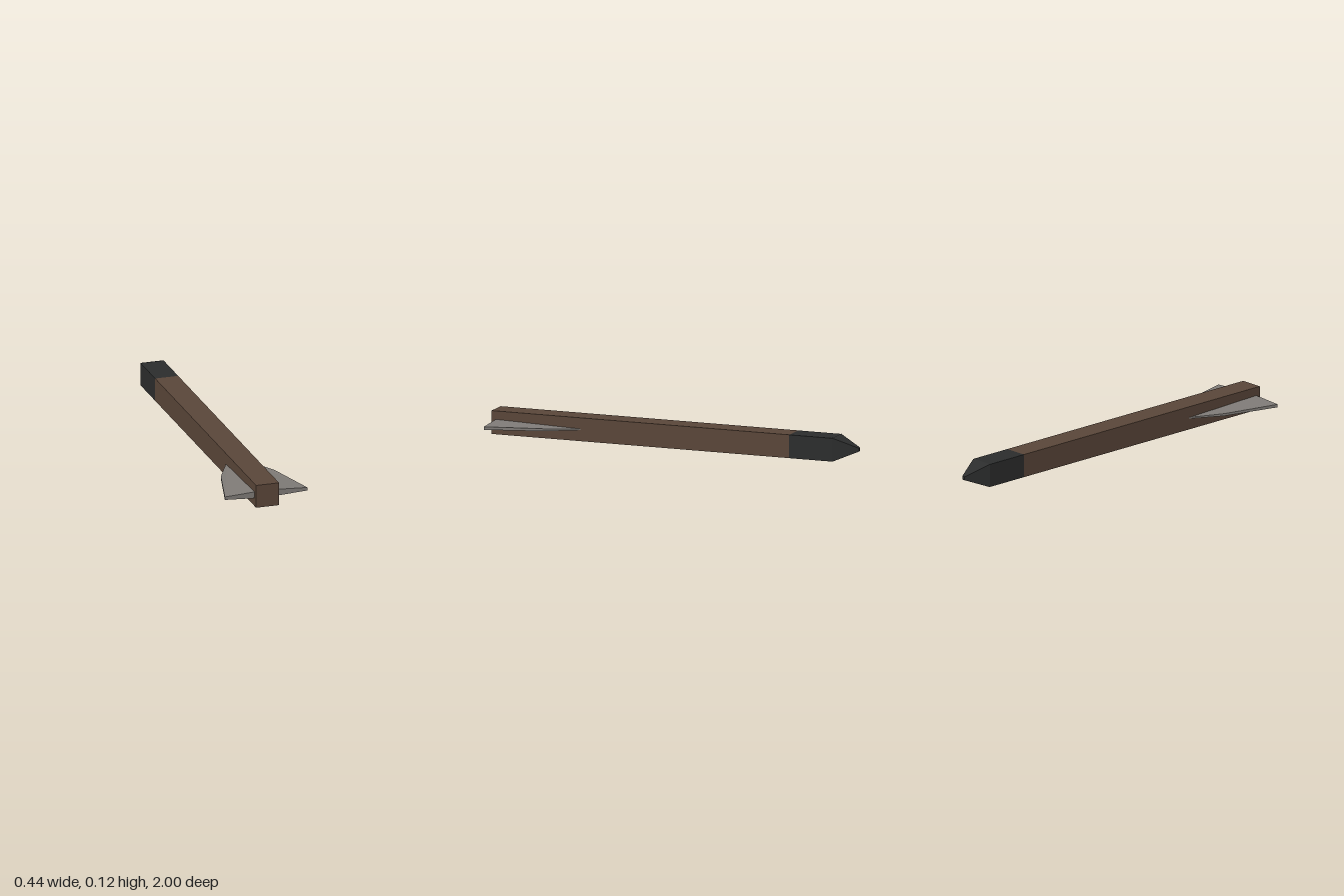
import * as THREE from 'three';

const HALF = 0.0615; // half width of the square body
const MID = 0.0605; // height of the long axis

function material(name, color) {
  const m = new THREE.MeshStandardMaterial({ color, flatShading: true });
  m.name = name;
  return m;
}

// Fin plate: thick at the rear root, thinning forward and outward
function finGeometry() {
  const outline = [[0.05, 0.49], [0.0615, 0.51], [0.145, 0.68], [0.221, 0.976], [0.05, 0.976]];
  const shape = new THREE.Shape(outline.map(([x, z]) => new THREE.Vector2(x, z)));
  const geo = new THREE.ExtrudeGeometry(shape, { depth: 1, bevelEnabled: false });
  geo.rotateX(Math.PI / 2).translate(0, 0.5, 0);
  const p = geo.attributes.position;
  for (let i = 0; i < p.count; i++) {
    const along = (p.getZ(i) - 0.49) / 0.486;
    const out = (p.getX(i) - 0.0615) / 0.16;
    const half = (0.003 + 0.014 * along) * (1 - 0.53 * out);
    p.setY(i, Math.sign(p.getY(i)) * half);
  }
  geo.computeVertexNormals();
  return geo;
}

export function createModel() {
  const group = new THREE.Group();
  group.name = 'rocket';
  const brown = material('brown body', 0x5a4639);
  const black = material('black nose', 0x2c2d2d);
  const grey = material('grey fin', 0x7f7b77);

  const add = (name, geo, mat, z = 0) => {
    const mesh = new THREE.Mesh(geo, mat);
    mesh.name = name;
    mesh.position.set(0, MID, z);
    group.add(mesh);
    return mesh;
  };

  // Square shaft, from the dark collar to the flat end
  const size = HALF * 2;
  add('body', new THREE.BoxGeometry(size, MID * 2, 1.638), brown, 0.181);

  // Dark collar and four-sided blunt tip
  add('noseCollar', new THREE.BoxGeometry(size, MID * 2, 0.236), black, -0.756);
  const tip = new THREE.CylinderGeometry(0.009 * Math.SQRT2, HALF * Math.SQRT2, 0.126, 4);
  tip.rotateY(Math.PI / 4).rotateX(-Math.PI / 2);
  add('noseTip', tip, black, -0.937);

  // Pair of tail fins, the second turned half way round the axis
  const fin = finGeometry();
  add('leftFin', fin, grey);
  add('rightFin', fin, grey).rotation.z = Math.PI;

  return group;
}
